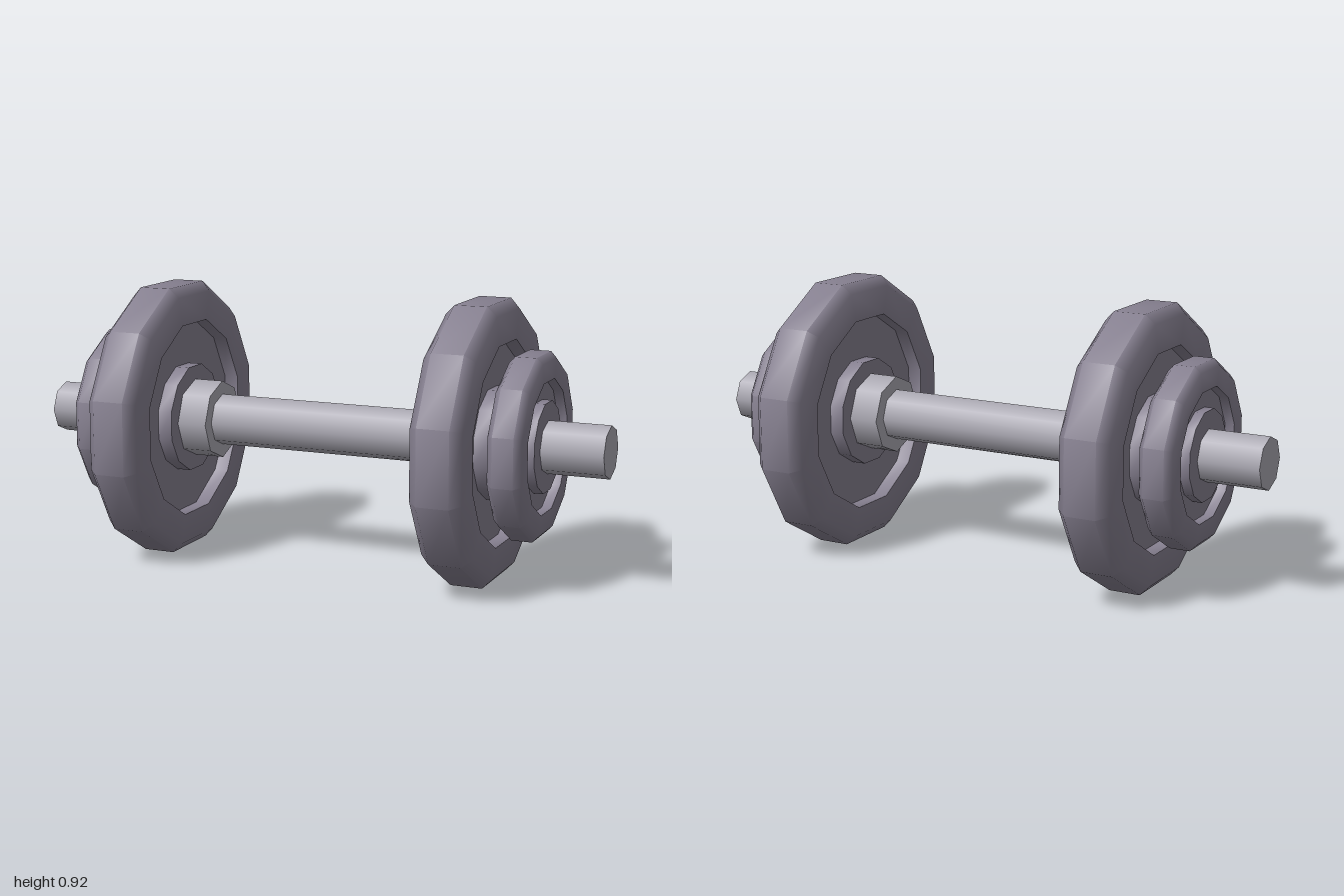
import * as THREE from 'three';
import { toCreasedNormals } from 'three/addons/utils/BufferGeometryUtils.js';

const AXIS_Y = 0.46;
const SIDES = 12;

// Twelve-sided weight plate along x; radii are measured to the flats
function plateGeometry({ outer, rim, hub, half, recess, bevel }) {
  const side = [
    [0.05, half], [hub, half], [hub, half - recess],
    [rim, half - recess], [rim, half], [outer - bevel, half], [outer, half - bevel],
  ];
  const toCorner = 1 / Math.cos(Math.PI / SIDES);
  const lower = side.map(([r, h]) => new THREE.Vector2(r * toCorner, -h));
  const upper = side.map(([r, h]) => new THREE.Vector2(r * toCorner, h)).reverse();
  const geometry = new THREE.LatheGeometry([...lower, ...upper], SIDES, Math.PI / SIDES);
  geometry.rotateZ(-Math.PI / 2);
  return toCreasedNormals(geometry, 0.9);
}

// Eight-sided rod along x with a corner at the top
function rodGeometry(radius, length) {
  return new THREE.CylinderGeometry(radius, radius, length, 8).rotateZ(-Math.PI / 2);
}

export function createModel() {
  const group = new THREE.Group();
  group.name = 'dumbbell';

  const steel = new THREE.MeshStandardMaterial({ color: 0xaaa8b2 });
  steel.name = 'steel';
  const iron = new THREE.MeshStandardMaterial({ color: 0x868090 });
  iron.name = 'iron';

  const add = (name, geometry, material, x) => {
    const mesh = new THREE.Mesh(geometry, material);
    mesh.name = name;
    mesh.position.set(x, AXIS_Y, 0);
    group.add(mesh);
  };

  // Handle bar through everything
  add('bar', rodGeometry(0.088, 2), steel, 0);

  const collar = rodGeometry(0.134, 0.11);
  const largePlate = plateGeometry({
    outer: 0.46, rim: 0.33, hub: 0.18, half: 0.086, recess: 0.05, bevel: 0.032,
  });
  const smallPlate = plateGeometry({
    outer: 0.3, rim: 0.215, hub: 0.147, half: 0.056, recess: 0.033, bevel: 0.021,
  });

  // Collar and two plates on each end
  for (const [side, s] of [['left', 1], ['right', -1]]) {
    add(side + 'Collar', collar, steel, s * 0.43);
    add(side + 'LargePlate', largePlate, iron, s * 0.565);
    add(side + 'SmallPlate', smallPlate, iron, s * 0.736);
  }
  return group;
}
